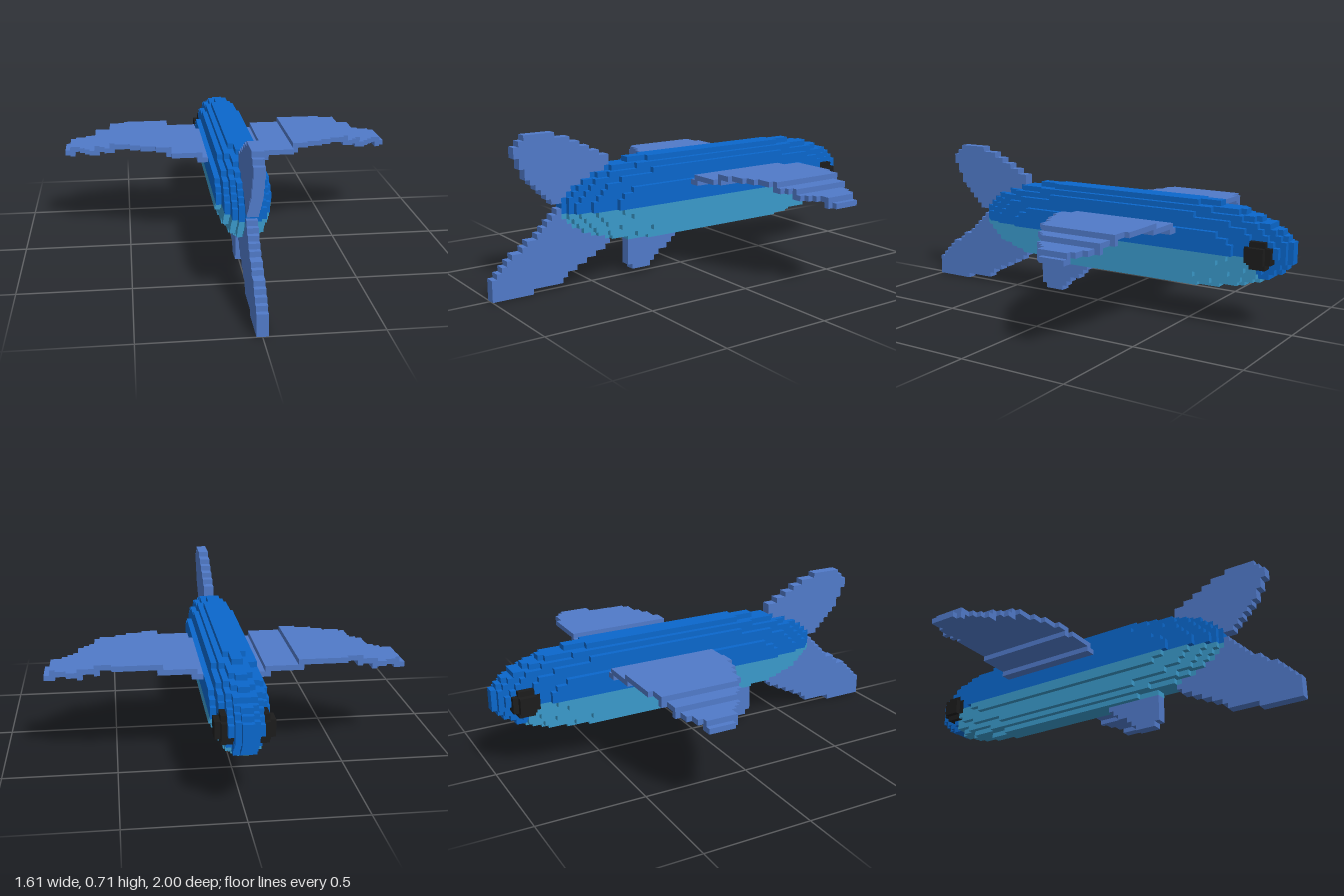
import * as THREE from 'three';

const V = 2 / 82; // edge of one cube

const mat = (name, color) => {
  const m = new THREE.MeshStandardMaterial({ color });
  m.name = name;
  return m;
};

// even-odd test of a point against an outline
function inside(poly, px, py) {
  let hit = false;
  for (let i = 0, j = poly.length - 1; i < poly.length; j = i++) {
    const [ax, ay] = poly[i], [bx, by] = poly[j];
    if ((ay > py) !== (by > py) && px < ((bx - ax) * (py - ay)) / (by - ay) + ax) hit = !hit;
  }
  return hit;
}

// outlines in cube units: fins as [z, y], wing as [x, z]
const upperTail = [[36, 25], [36, 27], [35, 28], [34, 29], [29, 29], [28, 28], [26, 28], [24, 27], [22, 26],
  [20, 25], [18, 24], [17, 23], [17, 15], [27, 15], [28, 16], [30, 17], [31, 18], [33, 20], [34, 22], [35, 24]];
const lowerTail = [[41, 0], [41, 3], [40, 5], [38, 7], [36, 8], [33, 10], [31, 12], [29, 14], [27, 15],
  [17, 15], [17, 8], [19, 6], [23, 4], [27, 2], [28, 1], [33, 1], [33, 0]];
const bellyFinShape = [[13, 9], [13, 2], [12, 1], [8, 1], [7, 3], [4, 4.5], [2, 6], [2, 9]];
const wingShape = [[0, -20], [18, -20], [22, -19.3], [25, -18.3], [28, -17], [30, -16], [32, -15], [33, -15],
  [33, -10], [31, -9], [29, -7.4], [27, -6], [24, -4], [19, -2], [14, 0], [11, 1], [0, 1]];
// bent wing: [start x, end x, height]
const wingSteps = [[3, 7, 17], [6, 13, 18], [12, 24, 19], [23, 27, 18], [26, 32, 17], [31, 33, 16]];

export function createModel() {
  const model = new THREE.Group();
  model.name = 'flyingFish';
  const blue = mat('bodyBlue', 0x0a67cc);
  const teal = mat('bellyTeal', 0x3a99ca);
  const finBlue = mat('finBlue', 0x507ac9);
  const black = mat('eyeBlack', 0x1c1c1c);

  const cells = new Map(); // later parts replace earlier ones
  const put = (part, x, y, z) => cells.set(`${x},${y},${z}`, { part, p: [x, y, z] });

  // thin upright fins
  for (const [name, shape] of [['upperTailFin', upperTail], ['lowerTailFin', lowerTail], ['bellyFin', bellyFinShape]])
    for (let z = 0; z < 41; z++)
      for (let y = 0; y < 29; y++)
        if (inside(shape, z + 0.5, y + 0.5)) for (const x of [-1, 0]) put(name, x, y, z);

  // stepped wings
  for (const [x0, x1, y] of wingSteps)
    for (let x = x0; x < x1; x++)
      for (let z = -20; z < 1; z++)
        if (inside(wingShape, x + 0.5, z + 0.5)) {
          put('leftWing', x, y, z);
          put('rightWing', -1 - x, y, z);
        }

  // body: oval section, rounded ends, teal underside behind the head
  for (let x = -5; x < 5; x++)
    for (let y = 7; y < 23; y++) {
      const dx = (x + 0.5) / 5, dy = y + 0.5 - 15;
      if (dx * dx + (dy / 8) ** 2 > 1) continue;
      const half = Math.round(16 + 18 * Math.sqrt(Math.max(0, 1 - dx * dx - (dy / 7.7) ** 2)));
      for (let z = -7 - half; z < -7 + half; z++) put(y < 14 && z >= -35 ? 'belly' : 'body', x, y, z);
    }

  // eyes
  for (let x = 1; x < 5; x++)
    for (let y = 12; y < 17; y++)
      for (let z = -38; z < -33; z++)
        if ((x - 2.5) ** 2 + (y - 14) ** 2 + (z + 36) ** 2 <= 6) {
          put('leftEye', x, y, z);
          put('rightEye', -1 - x, y, z);
        }

  // keep only the cube faces that touch air
  const faces = {};
  const corners = [[0, 0], [1, 0], [1, 1], [0, 0], [1, 1], [0, 1]];
  for (const { part, p } of cells.values()) {
    const out = (faces[part] ??= { pos: [], nor: [] });
    for (let a = 0; a < 3; a++)
      for (const s of [1, -1]) {
        const next = [...p];
        next[a] += s;
        if (cells.has(next.join())) continue;
        const u = (a + (s > 0 ? 1 : 2)) % 3, w = (a + (s > 0 ? 2 : 1)) % 3;
        const n = [0, 0, 0];
        n[a] = s;
        for (const [cu, cw] of corners) {
          const c = [...p];
          if (s > 0) c[a] += 1;
          c[u] += cu;
          c[w] += cw;
          out.pos.push(c[0] * V, c[1] * V, c[2] * V);
          out.nor.push(...n);
        }
      }
  }

  const materials = { body: blue, belly: teal, leftEye: black, rightEye: black };
  for (const [name, { pos, nor }] of Object.entries(faces)) {
    const g = new THREE.BufferGeometry();
    g.setAttribute('position', new THREE.Float32BufferAttribute(pos, 3));
    g.setAttribute('normal', new THREE.Float32BufferAttribute(nor, 3));
    const mesh = new THREE.Mesh(g, materials[name] ?? finBlue);
    mesh.name = name;
    model.add(mesh);
  }
  return model;
}
